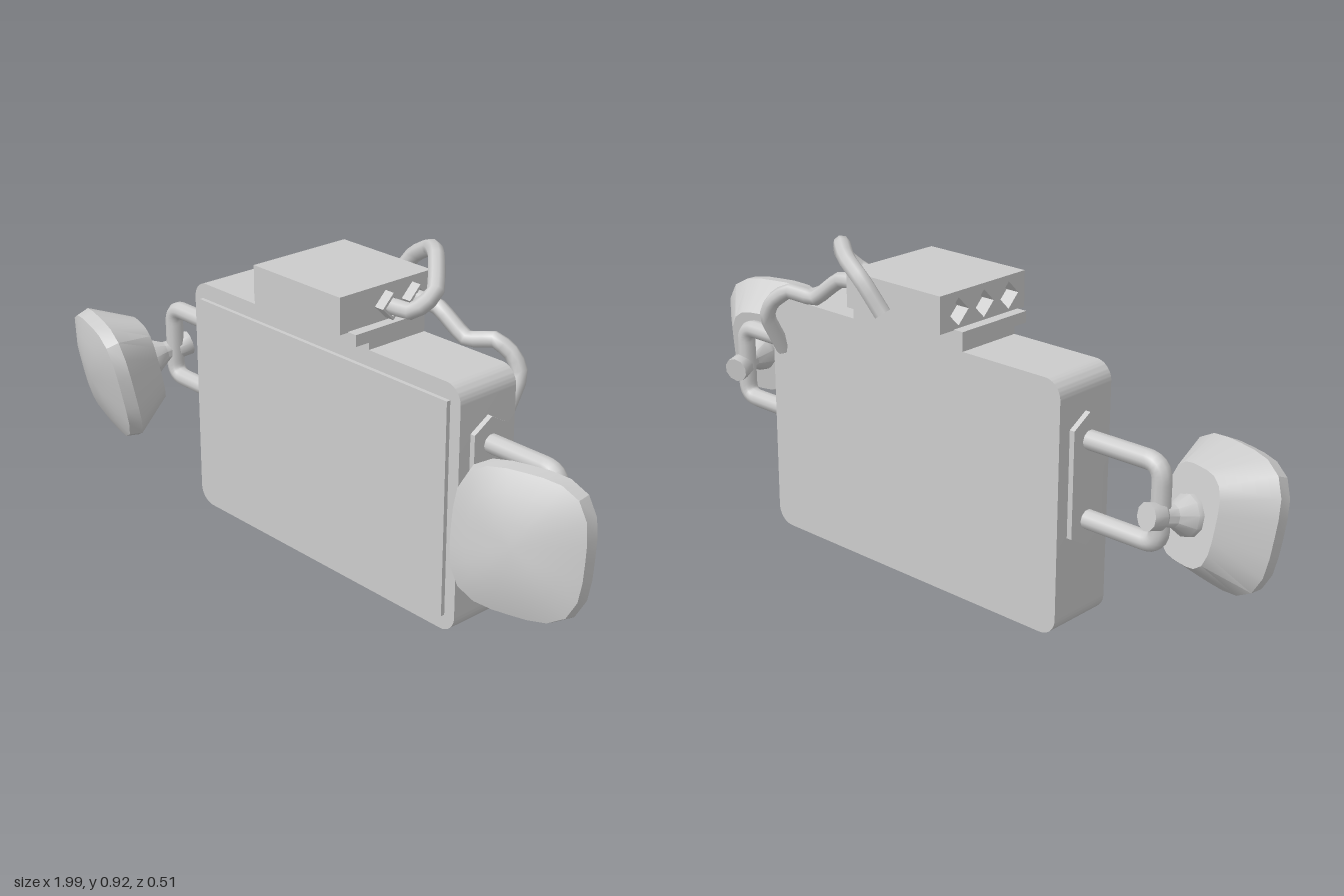
import * as THREE from 'three';
import { toCreasedNormals } from 'three/addons/utils/BufferGeometryUtils.js';

const V = (x, y, z) => new THREE.Vector3(x, y, z);
const mat = new THREE.MeshStandardMaterial({ color: 0xcccccc });
const matDouble = new THREE.MeshStandardMaterial({ color: 0xcccccc, side: THREE.DoubleSide });

function add(parent, name, geometry, material = mat) {
  const mesh = new THREE.Mesh(geometry, material);
  mesh.name = name;
  parent.add(mesh);
  return mesh;
}

// Box given by its minimum and maximum corners
function box(parent, name, [x0, y0, z0], [x1, y1, z1]) {
  const mesh = add(parent, name, new THREE.BoxGeometry(x1 - x0, y1 - y0, z1 - z0));
  mesh.position.set((x0 + x1) / 2, (y0 + y1) / 2, (z0 + z1) / 2);
  return mesh;
}

function roundedRect(x0, y0, x1, y1, r) {
  const s = new THREE.Shape();
  s.absarc(x1 - r, y0 + r, r, -Math.PI / 2, 0);
  s.absarc(x1 - r, y1 - r, r, 0, Math.PI / 2);
  s.absarc(x0 + r, y1 - r, r, Math.PI / 2, Math.PI);
  s.absarc(x0 + r, y0 + r, r, Math.PI, Math.PI * 1.5);
  return s;
}

// Extrudes a shape drawn in (-z, y) along +x from x0
function extrudeX(shape, x0, depth) {
  return new THREE.ExtrudeGeometry(shape, { depth, bevelEnabled: false })
    .rotateY(Math.PI / 2).translate(x0, 0, 0);
}

// Diamond outline in the (-z, y) plane
function diamond(z, y, r, Type = THREE.Path) {
  return new Type([[r, 0], [0, r], [-r, 0], [0, -r]].map(([a, b]) => new THREE.Vector2(a - z, y + b)));
}

// Lofts rounded-square rings [z, halfWidth, halfHeight] along z
function loftRings(rings, n = 24, power = 3.4) {
  const pos = [], idx = [];
  for (const [z, a, b] of rings) {
    for (let i = 0; i < n; i++) {
      const t = (i / n) * Math.PI * 2, c = Math.cos(t), s = Math.sin(t);
      const k = (Math.abs(c) ** power + Math.abs(s) ** power) ** (-1 / power);
      pos.push(a * k * c, b * k * s, z);
    }
  }
  for (let j = 0; j < rings.length - 1; j++) {
    for (let i = 0; i < n; i++) {
      const p = j * n + i, q = j * n + (i + 1) % n;
      idx.push(p, q, q + n, p, q + n, p + n);
    }
  }
  const g = new THREE.BufferGeometry();
  g.setAttribute('position', new THREE.Float32BufferAttribute(pos, 3));
  g.setIndex(idx);
  return toCreasedNormals(g, 0.5);
}

// Tube with closed ends
function cable(parent, name, points, radius) {
  const curve = new THREE.CatmullRomCurve3(points, false, 'catmullrom', 0.25);
  add(parent, name, new THREE.TubeGeometry(curve, points.length * 3, radius, 8), matDouble);
  for (const t of [0, 1]) {
    const cap = add(parent, name + 'End', new THREE.CircleGeometry(radius, 8), matDouble);
    cap.position.copy(curve.getPoint(t));
    cap.lookAt(cap.position.clone().add(curve.getTangent(t)));
  }
}

// Side plate, U handle, clamp and tilted pad; side is +1 or -1
function sideArm(side, clampY, pitch) {
  const arm = new THREE.Group();
  arm.name = side > 0 ? 'leftArm' : 'rightArm';
  const hex = [[-0.033, 0.59], [0.027, 0.555], [0.027, 0.265], [-0.033, 0.23], [-0.093, 0.265], [-0.093, 0.555]];
  const plate = new THREE.Shape(hex.map(([z, y]) => new THREE.Vector2(-z, y)));
  add(arm, 'sidePlate', extrudeX(plate, side > 0 ? 0.51 : -0.535, 0.025));

  const z = -0.033, top = 0.517, low = 0.303, out = 0.758, r = 0.045;
  const P = (x, y) => V(side * x, y, z);
  const path = new THREE.CurvePath();
  path.add(new THREE.LineCurve3(P(0.51, top), P(out - r, top)));
  path.add(new THREE.QuadraticBezierCurve3(P(out - r, top), P(out, top), P(out, top - r)));
  path.add(new THREE.LineCurve3(P(out, top - r), P(out, low + r)));
  path.add(new THREE.QuadraticBezierCurve3(P(out, low + r), P(out, low), P(out - r, low)));
  path.add(new THREE.LineCurve3(P(out - r, low), P(0.51, low)));
  add(arm, 'handle', new THREE.TubeGeometry(path, 60, 0.026, 10));

  const head = new THREE.Group();
  head.name = 'padAssembly';
  head.position.set(side * 0.765, clampY, -0.04);
  head.rotation.set(-pitch, side * 0.27, 0, 'YXZ');
  const profile = [[0, -0.045], [0.036, -0.045], [0.036, -0.005], [0.028, 0.005], [0.03, 0.035], [0.055, 0.075], [0.055, 0.095]];
  const clamp = new THREE.LatheGeometry(profile.map(([a, b]) => new THREE.Vector2(a, b)), 10).rotateX(Math.PI / 2);
  add(head, 'clamp', toCreasedNormals(clamp, 0.7));
  add(head, 'pad', loftRings([
    [0.09, 0, 0], [0.09, 0.095, 0.125], [0.205, 0.18, 0.184], [0.242, 0.172, 0.176],
    [0.262, 0.12, 0.122], [0.273, 0.06, 0.06], [0.276, 0, 0],
  ]));
  arm.add(head);
  return arm;
}

export function createModel() {
  const model = new THREE.Group();
  model.name = 'mountedScreen';

  // Main housing and raised front panel
  const body = new THREE.ExtrudeGeometry(roundedRect(-0.52, 0, 0.52, 0.69, 0.05),
    { depth: 0.197, bevelEnabled: false, curveSegments: 8 }).translate(0, 0, -0.132);
  add(model, 'housing', toCreasedNormals(body, 0.5));
  box(model, 'frontPanel', [-0.485, 0.045, 0.05], [0.485, 0.645, 0.077]);
  const button = add(model, 'sideButton', new THREE.CylinderGeometry(0.023, 0.023, 0.006, 16).rotateZ(Math.PI / 2));
  button.position.set(0.52, 0.143, 0.015);

  // Stepped base under the top unit
  box(model, 'baseRiser', [-0.2, 0.68, -0.132], [0.195, 0.712, 0.065]);
  box(model, 'baseSlab', [-0.2, 0.71, -0.132], [0.195, 0.742, 0.11]);

  // Top unit with diamond sockets sunk into both ends
  const y0 = 0.74, y1 = 0.84, zBack = -0.183, zFront = 0.137, socketY = 0.786;
  box(model, 'topUnit', [-0.13, y0, zBack], [0.125, y1, zFront]);
  const ends = [['rightSocketPanel', -0.17, [-0.115, -0.02, 0.075]], ['leftSocketPanel', 0.125, [-0.115, -0.02]]];
  for (const [name, x, sockets] of ends) {
    const s = new THREE.Shape([[-zFront, y0], [-zBack, y0], [-zBack, y1], [-zFront, y1]]
      .map(([a, b]) => new THREE.Vector2(a, b)));
    for (const z of sockets) s.holes.push(diamond(z, socketY, 0.037));
    add(model, name, extrudeX(s, x, 0.04));
  }

  // Plug collars and the two cables
  for (const z of [-0.115, -0.02]) {
    const collar = diamond(z, socketY, 0.037, THREE.Shape);
    collar.holes.push(diamond(z, socketY, 0.027));
    add(model, 'plugCollar', extrudeX(collar, 0.15, 0.045));
  }
  cable(model, 'looseCable', [
    V(0.13, 0.786, -0.02), V(0.25, 0.786, -0.03), V(0.287, 0.835, -0.075), V(0.21, 0.897, -0.155),
    V(0.13, 0.885, -0.215), V(0.05, 0.84, -0.232), V(0, 0.765, -0.215),
  ], 0.023);
  cable(model, 'screenCable', [
    V(0.13, 0.786, -0.115), V(0.26, 0.78, -0.115), V(0.345, 0.715, -0.132), V(0.42, 0.725, -0.16),
    V(0.465, 0.69, -0.18), V(0.488, 0.64, -0.18), V(0.485, 0.535, -0.125),
  ], 0.022);

  model.add(sideArm(1, 0.4, 0.13), sideArm(-1, 0.385, -0.2));
  return model;
}
